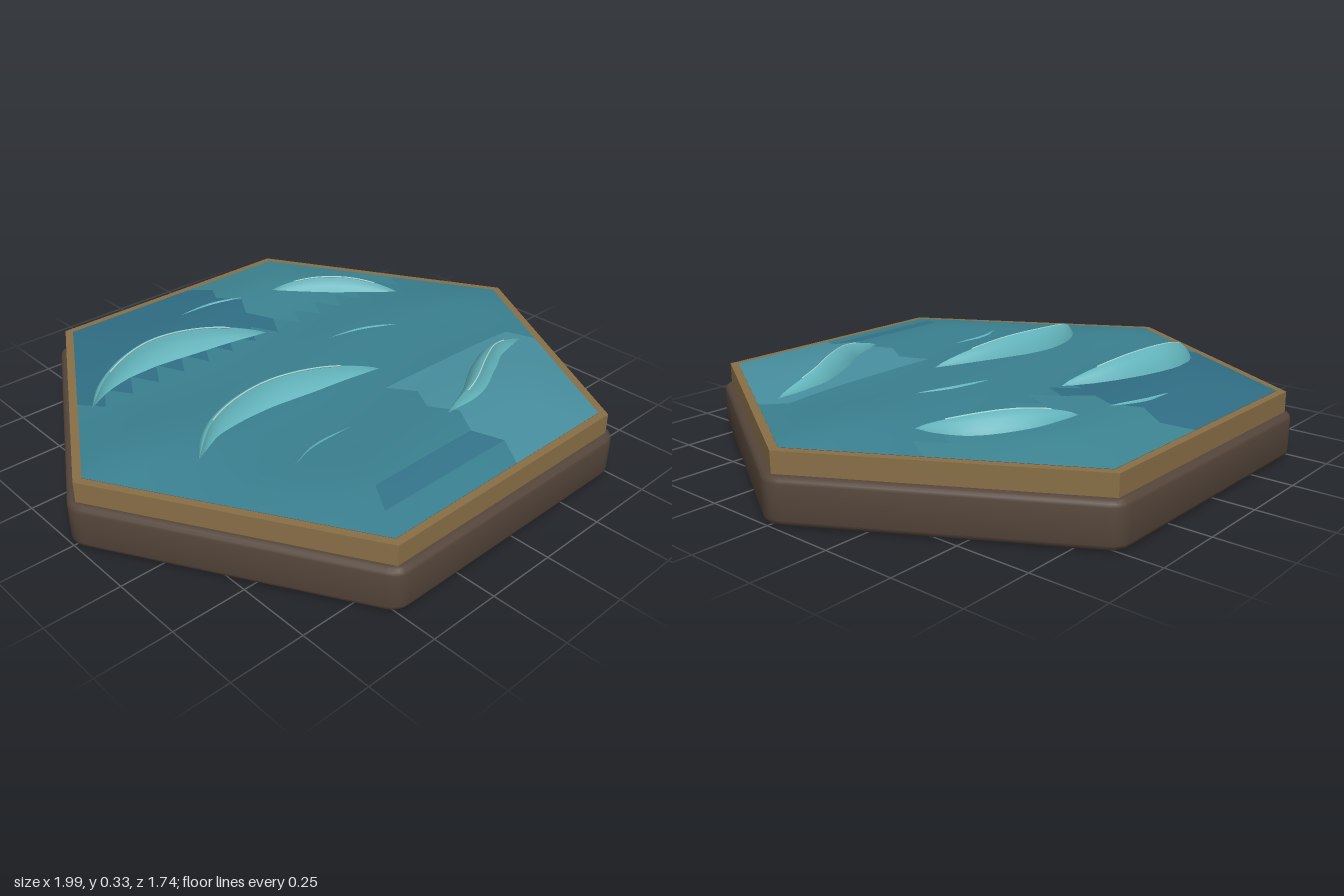
import * as THREE from 'three';
import { toCreasedNormals } from 'three/addons/utils/BufferGeometryUtils.js';

const COLORS = { base: 0x54453a, rim: 0x8a7048, wave: 0x62b3bb, foam: 0xa9dcda };
const WATER_R = 0.945, RINGS = 9;

const mat = (color, extra = {}) => new THREE.MeshStandardMaterial({ color, ...extra });

function addMesh(parent, name, geometry, material) {
  const mesh = new THREE.Mesh(geometry, material);
  mesh.name = name;
  parent.add(mesh);
  return mesh;
}

// Hexagon with points on +x and -x, optionally with rounded corners
function hexPath(PathType, radius, round = 0) {
  const corner = i => new THREE.Vector2(Math.cos(i * Math.PI / 3), Math.sin(i * Math.PI / 3)).multiplyScalar(radius);
  const path = new PathType();
  for (let i = 0; i < 6; i++) {
    const c = corner(i);
    if (!round) {
      i ? path.lineTo(c.x, c.y) : path.moveTo(c.x, c.y);
      continue;
    }
    const a = c.clone().lerp(corner(i + 5), round / radius);
    const b = c.clone().lerp(corner(i + 1), round / radius);
    i ? path.lineTo(a.x, a.y) : path.moveTo(a.x, a.y);
    path.quadraticCurveTo(c.x, c.y, b.x, b.y);
  }
  path.closePath();
  return path;
}

// Gentle swell that falls to the rim at the hexagon's edge
function waterHeight(x, z) {
  const edge = Math.max(Math.abs(z), Math.abs(x) * 0.866 + Math.abs(z) * 0.5) / (WATER_R * 0.866);
  const fade = Math.min(1, Math.max(0, (1 - edge) / 0.34));
  const swell = 0.029 + 0.007 * Math.cos(z * 11.5 + Math.sin(x * 4) * 0.7) + 0.003 * Math.sin(x * 6 + 1);
  return 0.221 + swell * fade * (2 - fade);
}

// Tone of a water facet, by where its centre lies
function waterTone(x, z) {
  if (z < -0.33) return x < 0.07 ? 'deepWater' : 'paleWater';
  if (z > 0.3 && x > 0.07 && x < 0.7) return 'shallowWater';
  if (z > 0.63 && z < 0.73 && x > -0.42) return 'darkBand';
  return 'openWater';
}

const TONES = {
  openWater: 0x3a8090, deepWater: 0x306f86, paleWater: 0x3d8593,
  shallowWater: 0x4890a0, darkBand: 0x34748a,
};

// Triangular lattice filling the hexagon, split into toned patches
function buildWater() {
  const group = new THREE.Group();
  group.name = 'water';
  const positions = [], ids = new Map(), faces = {};
  const step = WATER_R / RINGS;
  for (let r = -RINGS; r <= RINGS; r++) {
    for (let q = -RINGS; q <= RINGS; q++) {
      if (Math.abs(q + r) > RINGS) continue;
      const x = step * (q + r / 2), z = step * r * Math.sqrt(3) / 2;
      ids.set(q + ',' + r, positions.length / 3);
      positions.push(x, waterHeight(x, z), z);
    }
  }
  const all = [];
  const addFace = (...cells) => {
    const tri = cells.map(c => ids.get(c.join(',')));
    if (tri.includes(undefined)) return;
    const mid = k => tri.reduce((sum, v) => sum + positions[v * 3 + k], 0) / 3;
    (faces[waterTone(mid(0), mid(2))] ??= []).push(...tri);
    all.push(...tri);
  };
  for (let r = -RINGS; r <= RINGS; r++) {
    for (let q = -RINGS; q <= RINGS; q++) {
      addFace([q, r], [q, r + 1], [q + 1, r]);
      addFace([q + 1, r], [q, r + 1], [q + 1, r + 1]);
    }
  }
  const whole = new THREE.BufferGeometry();
  whole.setAttribute('position', new THREE.Float32BufferAttribute(positions, 3));
  whole.setIndex(all);
  whole.computeVertexNormals();
  for (const [tone, index] of Object.entries(faces)) {
    const patch = whole.clone();
    patch.setIndex(index);
    addMesh(group, tone, patch, mat(TONES[tone]));
  }
  return group;
}

const curveOf = points => new THREE.CatmullRomCurve3(points.map(([x, z]) => new THREE.Vector3(x, 0, z)));

// Crest section: [across, up], from the sloping back to the steep front
const SECTION = [[-1, 0], [-0.8, 0.4], [-0.45, 0.76], [-0.12, 0.97], [0.06, 1],
  [0.14, 0.82], [0.3, 0.48], [0.62, 0.2], [1, 0]];

// Loft the section along a curve, tapering to a point at both ends
function ridge(curve, back, front, height, sink, segments = 28) {
  const positions = [], index = [], crest = [];
  const cols = SECTION.length;
  for (let i = 0; i <= segments; i++) {
    const t = i / segments, p = curve.getPointAt(t), d = curve.getTangentAt(t);
    const taper = Math.max(0.01, Math.pow(Math.sin(Math.PI * t), 0.75));
    const foot = waterHeight(p.x, p.z) - sink;
    SECTION.forEach(([across, up], j) => {
      const s = across * taper * (across < 0 ? back : front);
      const v = [p.x - d.z * s, foot + up * (sink + (height - sink) * taper), p.z + d.x * s];
      positions.push(...v);
      if (j === 4) crest.push(new THREE.Vector3(...v));
      if (i < segments && j < cols - 1) {
        const a = i * cols + j, c = a + cols;
        index.push(a, a + 1, c, c, a + 1, c + 1);
      }
    });
  }
  const geometry = new THREE.BufferGeometry();
  geometry.setAttribute('position', new THREE.Float32BufferAttribute(positions, 3));
  geometry.setIndex(index);
  return { geometry: toCreasedNormals(geometry, 0.75), crest };
}

const WAVES = [
  { name: 'backWave', back: 0.066, front: 0.066, height: 0.085,
    path: [[-0.715, -0.305], [-0.6, -0.375], [-0.42, -0.41], [-0.2, -0.375], [0.015, -0.295]] },
  { name: 'middleWave', back: 0.055, front: 0.07, height: 0.078,
    path: [[-0.66, 0.19], [-0.53, 0.1], [-0.33, 0.065], [-0.1, 0.1], [0.125, 0.17]] },
  { name: 'sideWave', back: 0.055, front: 0.055, height: 0.064,
    path: [[0.25, -0.535], [0.39, -0.455], [0.52, -0.35], [0.62, -0.22]] },
  { name: 'frontWave', back: 0.05, front: 0.055, height: 0.06,
    path: [[0.065, 0.53], [0.22, 0.5], [0.38, 0.42], [0.5, 0.365], [0.675, 0.34]] },
];

const STREAKS = [
  [[-0.13, -0.61], [0.0, -0.6], [0.12, -0.56]],
  [[0.14, -0.095], [0.28, -0.065], [0.4, -0.01]],
  [[-0.46, 0.395], [-0.35, 0.36], [-0.19, 0.36]],
];

export function createModel() {
  const model = new THREE.Group();
  model.name = 'waterTile';

  // Base slab with softened edges
  const base = new THREE.ExtrudeGeometry(hexPath(THREE.Shape, 0.981, 0.03), {
    depth: 0.11, bevelSize: 0.022, bevelThickness: 0.02, bevelSegments: 3, curveSegments: 4,
  });
  base.rotateX(-Math.PI / 2).translate(0, 0.02, 0);
  addMesh(model, 'base', toCreasedNormals(base, 0.6), mat(COLORS.base));

  // Raised rim around the water
  const rimShape = hexPath(THREE.Shape, 0.976);
  rimShape.holes.push(hexPath(THREE.Path, WATER_R));
  const rim = new THREE.ExtrudeGeometry(rimShape, { depth: 0.072, bevelEnabled: false });
  rim.rotateX(-Math.PI / 2).translate(0, 0.148, 0);
  addMesh(model, 'rim', rim, mat(COLORS.rim));

  model.add(buildWater());

  // Breaking waves, each with a thin foam line on its crest
  for (const { name, path, back, front, height } of WAVES) {
    const wave = new THREE.Group();
    wave.name = name;
    const { geometry, crest } = ridge(curveOf(path), back, front, height, 0.012);
    addMesh(wave, 'waveBody', geometry, mat(COLORS.wave, { side: THREE.DoubleSide }));
    const line = new THREE.CatmullRomCurve3(crest.slice(5, -5));
    addMesh(wave, 'crestFoam', new THREE.TubeGeometry(line, 32, 0.003, 5), mat(COLORS.foam));
    model.add(wave);
  }

  // Small foam streaks lying on the surface
  for (const path of STREAKS) {
    const { geometry } = ridge(curveOf(path), 0.008, 0.006, 0.008, 0.003, 14);
    addMesh(model, 'foamStreak', geometry, mat(COLORS.wave, { side: THREE.DoubleSide }));
  }
  return model;
}
